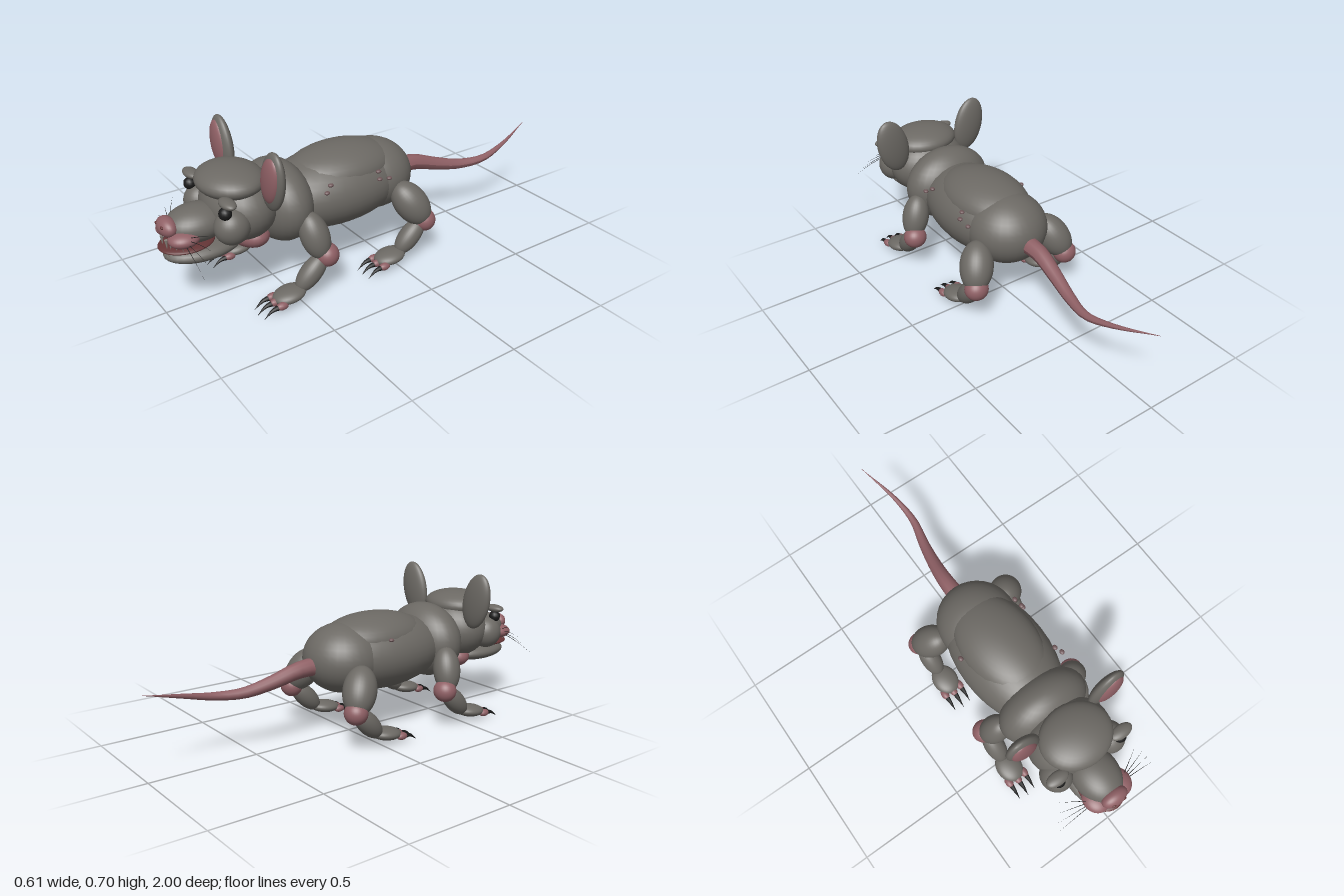
import * as THREE from 'three';

const mat = (name, color) => {
  const m = new THREE.MeshStandardMaterial({ color });
  m.name = name;
  return m;
};
const V = (p) => new THREE.Vector3(...p);

export function createModel() {
  const fur = mat('fur', 0x6c6964);
  const skin = mat('pink skin', 0x8f6065);
  const gum = mat('mouth red', 0x643536);
  const black = mat('black', 0x1b1b1b);
  const bone = mat('tooth', 0x88817a);
  const wart = mat('wart', 0x70585a);

  const model = new THREE.Group();
  model.name = 'rat';
  const ball = new THREE.SphereGeometry(1, 32, 20);
  const smallBall = new THREE.SphereGeometry(1, 14, 10);

  const add = (parent, name, geometry, material) => {
    const mesh = new THREE.Mesh(geometry, material);
    mesh.name = name;
    parent.add(mesh);
    return mesh;
  };
  // Ellipsoid from centre and half sizes
  const blob = (parent, name, material, pos, size, rot = [0, 0, 0]) => {
    const m = add(parent, name, Math.max(...size) < 0.03 ? smallBall : ball, material);
    m.position.set(...pos);
    m.scale.set(...size);
    m.rotation.set(...rot);
    return m;
  };
  // Ellipsoid stretched from one point to another
  const limb = (parent, name, material, from, to, radius) => {
    const a = V(from), b = V(to), d = b.clone().sub(a);
    const m = add(parent, name, ball, material);
    m.position.copy(a).lerp(b, 0.5);
    m.scale.set(radius, d.length() / 2, radius);
    m.quaternion.setFromUnitVectors(new THREE.Vector3(0, 1, 0), d.normalize());
    return m;
  };
  // Tube narrowing to a point along a curve
  const taper = (parent, name, material, points, radius, segments, sides) => {
    const curve = new THREE.CatmullRomCurve3(points.map(V));
    const g = new THREE.TubeGeometry(curve, segments, radius, sides);
    const pos = g.attributes.position, v = new THREE.Vector3();
    for (let i = 0; i < pos.count; i++) {
      const t = Math.floor(i / (sides + 1)) / segments;
      const c = curve.getPointAt(t);
      v.fromBufferAttribute(pos, i).sub(c).multiplyScalar(Math.max(1 - t, 0.02)).add(c);
      pos.setXYZ(i, v.x, v.y, v.z);
    }
    g.computeVertexNormals();
    return add(parent, name, g, material);
  };

  // Body
  const body = new THREE.Group();
  body.name = 'body';
  model.add(body);
  blob(body, 'torso', fur, [0, 0.36, 0.17], [0.21, 0.172, 0.36]);
  blob(body, 'back', fur, [0, 0.44, 0.14], [0.175, 0.108, 0.27]);
  blob(body, 'rump', fur, [0, 0.36, -0.03], [0.186, 0.16, 0.188]);
  blob(body, 'shoulders', fur, [0, 0.372, 0.46], [0.217, 0.178, 0.135]);
  blob(body, 'throat', skin, [0, 0.275, 0.61], [0.138, 0.065, 0.085]);

  // Warts on the flanks
  const warts = [[0.2, 0.44, 0.33], [0.182, 0.46, 0.3], [0.182, 0.455, 0.055],
    [0.192, 0.422, 0.055], [0.188, 0.41, 0], [-0.182, 0.455, 0.1]];
  for (const p of warts) blob(body, 'wart', wart, p, [0.011, 0.008, 0.013]);

  // Head
  const head = new THREE.Group();
  head.name = 'head';
  model.add(head);
  blob(head, 'skull', fur, [0, 0.41, 0.64], [0.195, 0.15, 0.155]);
  blob(head, 'cranium', fur, [0, 0.527, 0.67], [0.165, 0.064, 0.14]);
  blob(head, 'snout', fur, [0, 0.378, 0.83], [0.105, 0.077, 0.135]);
  blob(head, 'nose', skin, [0, 0.396, 0.955], [0.063, 0.041, 0.038]);
  blob(head, 'lowerJaw', fur, [0, 0.262, 0.81], [0.107, 0.045, 0.17]);
  blob(head, 'mouth', gum, [0, 0.302, 0.88], [0.097, 0.018, 0.118]);

  for (const s of [-1, 1]) {
    blob(head, 'cheek', fur, [s * 0.142, 0.39, 0.74], [0.07, 0.075, 0.075]);
    blob(head, 'lipPad', skin, [s * 0.06, 0.355, 0.912], [0.058, 0.034, 0.066]);
    blob(head, 'nostril', black === null ? skin : gum, [s * 0.026, 0.41, 0.985], [0.011, 0.007, 0.006]);
    blob(head, 'eye', black, [s * 0.162, 0.468, 0.775], [0.028, 0.027, 0.027]);
    blob(head, 'brow', fur, [s * 0.167, 0.511, 0.765], [0.054, 0.018, 0.03]);

    // Ear with a pink inner face, leaning outward
    const ear = new THREE.Group();
    ear.name = 'ear';
    ear.position.set(s * 0.216, 0.573, 0.588);
    ear.rotation.z = -s * 0.24;
    head.add(ear);
    blob(ear, 'earShell', fur, [0, 0, 0], [0.079, 0.135, 0.034]);
    blob(ear, 'innerEar', skin, [s * 0.003, 0.01, 0.014], [0.061, 0.106, 0.029]);

    // Teeth
    const cone = new THREE.ConeGeometry(0.008, 0.045, 8);
    const tooth = (x, y, z, k, up) => {
      const m = add(head, 'tooth', cone, bone);
      m.position.set(s * x, y, z);
      m.scale.setScalar(k);
      if (!up) m.rotation.x = Math.PI;
    };
    tooth(0.022, 0.327, 0.972, 1, false);
    tooth(0.045, 0.324, 0.965, 0.6, false);
    tooth(0.064, 0.322, 0.95, 0.55, false);
    tooth(0.082, 0.322, 0.93, 0.5, false);
    tooth(0.034, 0.292, 0.975, 0.5, true);

    // Whiskers
    const tips = [[0.205, 0.405, 0.84], [0.235, 0.365, 0.87], [0.25, 0.32, 0.9], [0.27, 0.28, 0.93]];
    tips.forEach(([x, y, z], i) => {
      const root = [s * 0.095, 0.37 - i * 0.009, 0.905 + i * 0.006];
      const mid = [s * (x + 0.095) / 2, (y + root[1]) / 2 + 0.006, (z + root[2]) / 2];
      taper(head, 'whisker', black, [root, mid, [s * x, y, z]], 0.0018, 6, 5);
    });
  }

  // Legs: fore and hind pairs share the lower parts
  for (const [name, z0] of [['frontLeg', 0.37], ['hindLeg', -0.15]]) {
    for (const s of [-1, 1]) {
      const leg = new THREE.Group();
      leg.name = name;
      leg.position.z = z0;
      model.add(leg);
      if (name === 'frontLeg')
        limb(leg, 'upperLeg', fur, [s * 0.185, 0.375, 0.055], [s * 0.252, 0.175, 0.02], 0.063);
      else
        limb(leg, 'upperLeg', fur, [s * 0.17, 0.36, 0.1], [s * 0.26, 0.175, -0.005], 0.076);
      blob(leg, 'joint', skin, [s * 0.25, 0.185, 0], [0.055, 0.052, 0.052]);
      limb(leg, 'lowerLeg', fur, [s * 0.245, 0.19, 0.005], [s * 0.238, 0.05, 0.14], 0.047);
      blob(leg, 'foot', fur, [s * 0.236, 0.05, 0.18], [0.06, 0.029, 0.075], [0.12, 0, 0]);
      for (const dx of [-0.042, 0, 0.042]) {
        const x = s * 0.236 + dx, z = dx === 0 ? 0.008 : 0;
        blob(leg, 'toe', skin, [x, 0.035, 0.238 + z], [0.018, 0.017, 0.028]);
        taper(leg, 'claw', black,
          [[x, 0.034, 0.25 + z], [x, 0.03, 0.285 + z], [x, 0.002, 0.325 + z]], 0.013, 8, 8);
      }
    }
  }

  // Tail
  taper(model, 'tail', skin, [[0, 0.345, -0.19], [0, 0.34, -0.28], [0.015, 0.305, -0.4],
    [0.04, 0.276, -0.53], [0.068, 0.28, -0.66], [0.055, 0.312, -0.8], [0, 0.368, -1]], 0.042, 20, 12);

  return model;
}
